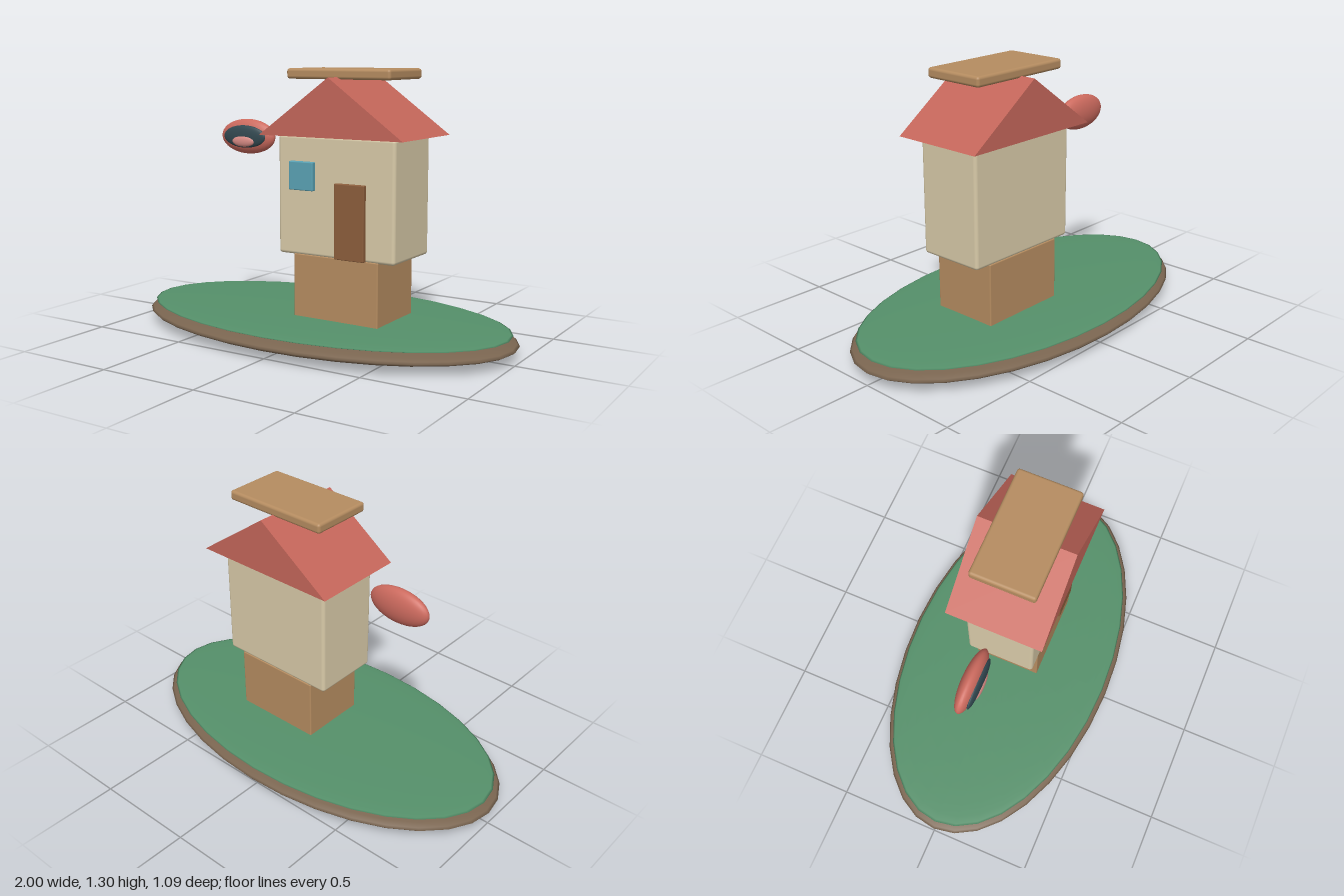
import * as THREE from 'three';
import { RoundedBoxGeometry } from 'three/addons/geometries/RoundedBoxGeometry.js';

export function createModel() {
  const model = new THREE.Group();

  function add(parent, name, geometry, color, x, y, z) {
    const mesh = new THREE.Mesh(geometry, new THREE.MeshStandardMaterial({ color }));
    mesh.name = name;
    mesh.position.set(x, y, z);
    parent.add(mesh);
    return mesh;
  }

  // Box given by its lower and upper corners, with softened edges
  function block(parent, name, color, a, b, radius) {
    const size = a.map((v, i) => b[i] - v);
    const mid = a.map((v, i) => (v + b[i]) / 2);
    return add(parent, name, new RoundedBoxGeometry(...size, 3, radius), color, ...mid);
  }

  // Stretched sphere
  function ellipsoid(parent, name, color, centre, radii) {
    const geometry = new THREE.SphereGeometry(1, 32, 20).scale(...radii);
    return add(parent, name, geometry, color, ...centre);
  }

  // Island: earth disc with a thin layer of grass
  const island = new THREE.Group();
  island.name = 'island';
  ellipsoid(island, 'soil', 0x7a6550, [0, 0.06, 0], [1, 0.06, 0.545]);
  ellipsoid(island, 'grass', 0x55906a, [0, 0.105, 0], [0.97, 0.018, 0.523]);

  // House on its plinth
  const house = new THREE.Group();
  house.name = 'house';
  block(house, 'plinth', 0xb58c60, [-0.055, 0.1, -0.17], [0.4, 0.425, 0.17], 0.006);
  block(house, 'walls', 0xd8caa8, [-0.14, 0.42, -0.17], [0.485, 0.988, 0.172], 0.016);
  block(house, 'door', 0x8c5e3c, [0.18, 0.423, 0.165], [0.337, 0.776, 0.192], 0.004);
  block(house, 'window', 0x5aa2b4, [-0.065, 0.732, 0.17], [0.067, 0.867, 0.197], 0.005);

  // Gable roof with its ridge running front to back
  const gable = new THREE.Shape();
  gable.moveTo(-0.38, 0);
  gable.lineTo(0.38, 0);
  gable.lineTo(0, 0.272);
  gable.closePath();
  const roof = new THREE.ExtrudeGeometry(gable, { depth: 0.472, bevelEnabled: false });
  add(house, 'roof', roof, 0xc4665a, 0.175, 0.986, -0.235);
  block(house, 'roofPlank', 0xb58c60, [-0.103, 1.247, -0.157], [0.448, 1.296, 0.158], 0.014);

  // Floating mouth: lips, dark opening and tongue
  const mouth = new THREE.Group();
  mouth.name = 'mouth';
  ellipsoid(mouth, 'lips', 0xcc6a5e, [-0.44, 0.952, 0], [0.161, 0.087, 0.045]);
  ellipsoid(mouth, 'opening', 0x324850, [-0.44, 0.953, 0.034], [0.126, 0.056, 0.018]);
  ellipsoid(mouth, 'tongue', 0xd98c86, [-0.44, 0.93, 0.045], [0.067, 0.028, 0.014]);

  model.add(island, house, mouth);
  return model;
}
